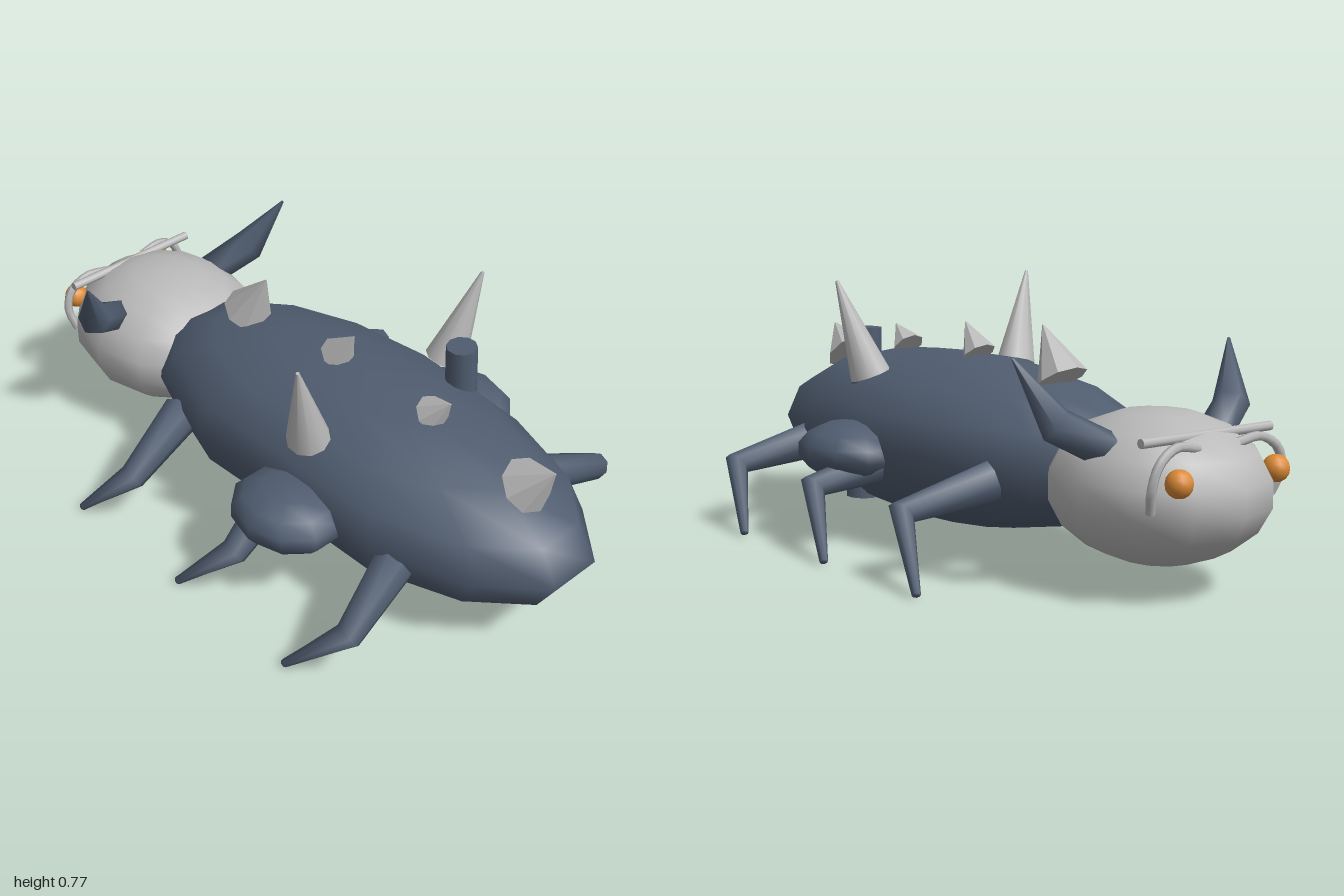
import * as THREE from 'three';

const slate = new THREE.MeshStandardMaterial({ color: 0x505d70 });
slate.name = 'slate shell';
const grey = new THREE.MeshStandardMaterial({ color: 0xbababa });
grey.name = 'pale grey';
const orange = new THREE.MeshStandardMaterial({ color: 0xdc8a36 });
orange.name = 'orange eye';

const V = (x, y, z) => new THREE.Vector3(x, y, z);
const UP = V(0, 1, 0);

function ellipsoid(radii, center, w, h) {
  return new THREE.SphereGeometry(1, w, h).scale(...radii).translate(...center);
}

// Cylinder or cone running from point a to point b
function rod(a, b, ra, rb, sides) {
  const dir = b.clone().sub(a);
  const g = new THREE.CylinderGeometry(rb, ra, dir.length(), sides);
  g.applyQuaternion(new THREE.Quaternion().setFromUnitVectors(UP, dir.normalize()));
  const mid = a.clone().add(b).multiplyScalar(0.5);
  return g.translate(mid.x, mid.y, mid.z);
}

// Tapered limb: one ring of vertices at each point, mitred at the bends
function limb(points, radii, sides) {
  const pos = [], index = [];
  const last = points.length - 1;
  points.forEach((p, i) => {
    const tangent = V(0, 0, 0);
    if (i > 0) tangent.add(p.clone().sub(points[i - 1]).normalize());
    if (i < last) tangent.add(points[i + 1].clone().sub(p).normalize());
    tangent.normalize();
    const u = V(0, 0, 1).cross(tangent).normalize();
    const v = tangent.clone().cross(u);
    for (let k = 0; k < sides; k++) {
      const t = (k / sides) * Math.PI * 2;
      const q = p.clone().addScaledVector(u, Math.cos(t) * radii[i]).addScaledVector(v, Math.sin(t) * radii[i]);
      pos.push(q.x, q.y, q.z);
      if (i < last) {
        const a = i * sides + k, b = i * sides + ((k + 1) % sides);
        index.push(a, b, a + sides, b, b + sides, a + sides);
      }
    }
  });
  // End caps
  const end = last * sides;
  for (let k = 1; k < sides - 1; k++) {
    index.push(0, k + 1, k, end, end + k, end + k + 1);
  }
  const g = new THREE.BufferGeometry();
  g.setAttribute('position', new THREE.Float32BufferAttribute(pos, 3));
  g.setIndex(index);
  g.computeVertexNormals();
  return g;
}

export function createModel() {
  const model = new THREE.Group();
  model.name = 'spikedBeetle';
  const add = (name, geometry, material) => {
    const mesh = new THREE.Mesh(geometry, material);
    mesh.name = name;
    model.add(mesh);
  };

  // Body, slightly flattened along one flank
  const body = ellipsoid([0.36, 0.255, 0.82], [0, 0.295, 0.2], 14, 8);
  const p = body.attributes.position;
  for (let i = 0; i < p.count; i++) {
    if (p.getX(i) < 0 && Math.abs(p.getZ(i) - 0.2) < 0.01) p.setX(i, p.getX(i) * 0.89);
  }
  add('body', body, slate);

  // Head
  add('head', ellipsoid([0.285, 0.207, 0.325], [0, 0.275, -0.68], 12, 9), grey);

  // Spikes down the spine: base y, base z, tip y, tip z, radius
  const spine = [
    [0.515, -0.285, 0.66, -0.2, 0.075],
    [0.55, 0.1, 0.64, 0.165, 0.052],
    [0.54, 0.47, 0.605, 0.535, 0.052],
    [0.49, 0.81, 0.58, 0.9, 0.078],
  ];
  spine.forEach(([y0, z0, y1, z1, r], i) => {
    const cone = rod(V(0, y0, z0), V(0, y1, z1), r, 0.002, 8).toNonIndexed();
    cone.computeVertexNormals();
    add(`spineSpike${i + 1}`, cone, grey);
  });

  // Chimney-like tube through the shell
  add('backTube', rod(V(0.23, 0.1, 0.39), V(0.208, 0.62, 0.385), 0.05, 0.045, 10), slate);

  // Brow bar across the head
  add('browBar', rod(V(-0.23, 0.433, -0.858), V(0.23, 0.433, -0.858), 0.013, 0.013, 8), grey);

  for (const s of [1, -1]) {
    const side = s > 0 ? 'left' : 'right';

    // Tall shoulder spike
    add(`${side}TallSpike`, rod(V(s * 0.275, 0.49, 0.27), V(s * 0.357, 0.77, 0.318), 0.062, 0.005, 10), grey);

    // Side pod
    add(`${side}Pod`, ellipsoid([0.15, 0.088, 0.178], [s * 0.35, 0.275, 0.265], 10, 7), slate);

    // Bent horn
    add(`${side}Horn`, limb(
      [V(s * 0.19, 0.39, -0.69), V(s * 0.315, 0.46, -0.635), V(s * 0.387, 0.627, -0.55)],
      [0.05, 0.052, 0.004], 6), slate);

    // Eye and the curved ridge around it
    add(`${side}Eye`, ellipsoid([0.037, 0.037, 0.037], [s * 0.172, 0.338, -0.935], 12, 8), orange);
    const ridge = new THREE.CatmullRomCurve3([
      V(s * 0.07, 0.41, -0.895), V(s * 0.15, 0.42, -0.9), V(s * 0.21, 0.385, -0.905),
      V(s * 0.23, 0.325, -0.9), V(s * 0.215, 0.26, -0.88),
    ]);
    add(`${side}EyeRidge`, new THREE.TubeGeometry(ridge, 12, 0.013, 6), grey);

    // Three legs
    ['front', 'middle', 'rear'].forEach((name, i) => {
      const z = i * 0.45;
      add(`${side}${name}Leg`, limb(
        [V(s * 0.26, 0.255, -0.3 + z), V(s * 0.51, 0.19, -0.23 + z), V(s * 0.582, 0.012, -0.4 + z)],
        [0.062, 0.04, 0.012], 8), slate);
    });
  }
  return model;
}
